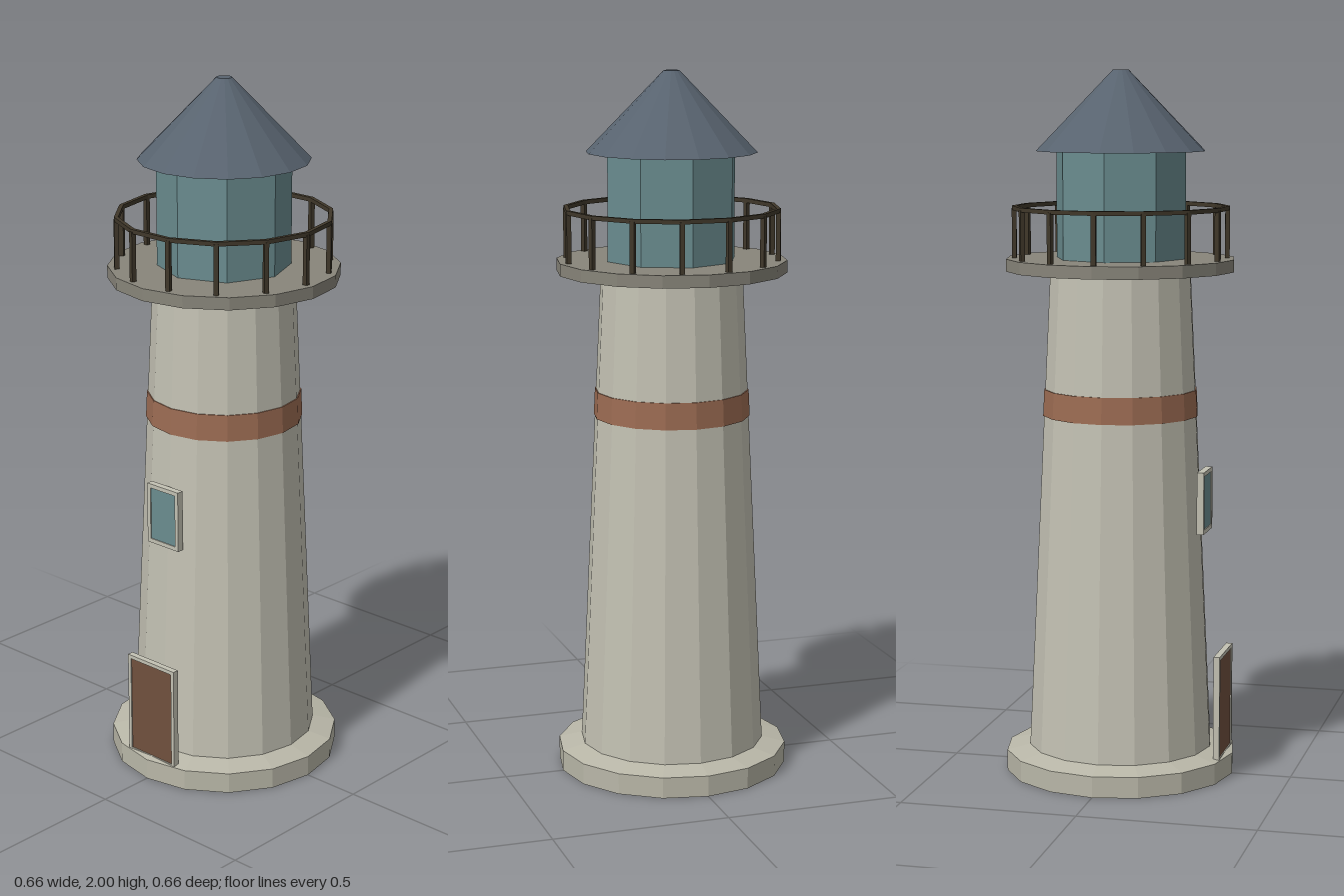
import * as THREE from 'three';

const mat = (name, color) => {
  const m = new THREE.MeshStandardMaterial({ color, flatShading: true });
  m.name = name;
  return m;
};

export function createModel() {
  const model = new THREE.Group();
  model.name = 'lighthouse';

  const wall = mat('pale plaster', 0xc3c1b3);
  const stone = mat('base stone', 0xb9b7a8);
  const deck = mat('gallery stone', 0x88857a);
  const band = mat('rust red band', 0x9c6c53);
  const wood = mat('door wood', 0x70503d);
  const glass = mat('lantern glass', 0x6a8c8f);
  const slate = mat('roof slate', 0x58636f);
  const iron = mat('railing iron', 0x40382a);

  const add = (name, geometry, material, x = 0, y = 0, z = 0, parent = model) => {
    const mesh = new THREE.Mesh(geometry, material);
    mesh.name = name;
    mesh.position.set(x, y, z);
    parent.add(mesh);
    return mesh;
  };

  // Round part standing between two heights
  const drum = (name, rBottom, rTop, y0, y1, material, sides = 16) =>
    add(name, new THREE.CylinderGeometry(rTop, rBottom, y1 - y0, sides), material, 0, (y0 + y1) / 2);

  // Base with a gently sloping top
  drum('base', 0.33, 0.33, 0, 0.06, stone);
  drum('baseSlope', 0.33, 0.265, 0.06, 0.075, stone);

  // Tapering tower and its painted band
  const towerRadius = (y) => 0.264 - (y - 0.07) * 0.0467;
  drum('tower', towerRadius(0.07), towerRadius(1.44), 0.07, 1.44, wall);
  drum('band', towerRadius(1.03) + 0.003, towerRadius(1.105) + 0.003, 1.03, 1.105, band);

  // Gallery, lantern room and roof
  drum('gallery', 0.325, 0.325, 1.44, 1.475, deck);
  drum('lantern', 0.187, 0.187, 1.475, 1.778, glass, 8);
  drum('roof', 0.24, 0.022, 1.775, 2, slate);

  // Railing: square-section rail on fourteen posts
  const railing = new THREE.Group();
  railing.name = 'railing';
  model.add(railing);
  const section = [[0.294, 1.61], [0.306, 1.61], [0.306, 1.622], [0.294, 1.622], [0.294, 1.61]];
  add('rail', new THREE.LatheGeometry(section.map(([r, y]) => new THREE.Vector2(r, y)), 14, Math.PI / 2),
    iron, 0, 0, 0, railing);
  const postGeometry = new THREE.BoxGeometry(0.013, 0.14, 0.013);
  for (let i = 0; i < 14; i++) {
    const a = (i / 14) * Math.PI * 2;
    const post = add('railingPost', postGeometry, iron, Math.cos(a) * 0.3, 1.545, Math.sin(a) * 0.3, railing);
    post.rotation.y = -a;
  }

  // Framed opening with a thin panel set into its front
  const opening = (name, w, y0, y1, z0, z1, border, bottom, material) => {
    const group = new THREE.Group();
    group.name = name;
    model.add(group);
    const rect = (target, hw, a, b) => {
      target.moveTo(-hw, a);
      target.lineTo(hw, a);
      target.lineTo(hw, b);
      target.lineTo(-hw, b);
      target.closePath();
      return target;
    };
    const inner = [w / 2 - border, y0 + bottom, y1 - border];
    const shape = rect(new THREE.Shape(), w / 2, y0, y1);
    shape.holes.push(rect(new THREE.Path(), ...inner));
    add(name + 'Frame', new THREE.ExtrudeGeometry(shape, { depth: z1 - z0, bevelEnabled: false }),
      wall, 0, 0, z0, group);
    add(name + 'Panel', new THREE.BoxGeometry(inner[0] * 2, inner[2] - inner[1], 0.009),
      material, 0, (inner[1] + inner[2]) / 2, z1 - 0.0075, group);
  };
  opening('door', 0.18, 0.06, 0.36, 0.292, 0.31, 0.011, 0.005, wood);
  opening('window', 0.118, 0.703, 0.88, 0.235, 0.255, 0.012, 0.012, glass);

  return model;
}
